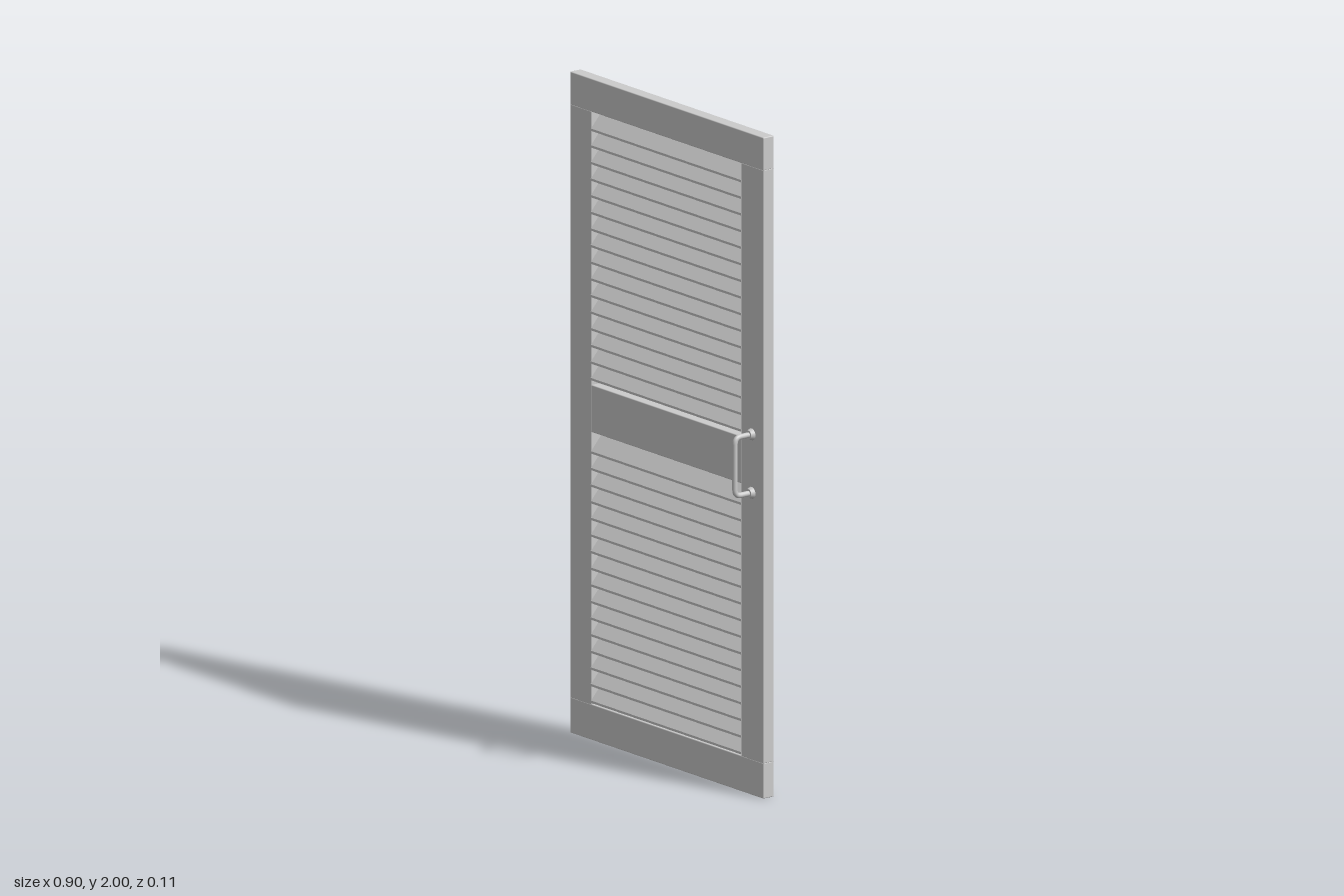
import * as THREE from 'three';
import { RoundedBoxGeometry } from 'three/addons/geometries/RoundedBoxGeometry.js';

const BACK = -0.055, FRONT = -0.015;
const MID = (BACK + FRONT) / 2, DEPTH = FRONT - BACK;

export function createModel() {
  const door = new THREE.Group();
  door.name = 'louvredDoor';
  const material = new THREE.MeshStandardMaterial({ color: 0xcccccc });

  const add = (name, geometry, parent = door) => {
    const mesh = new THREE.Mesh(geometry, material);
    mesh.name = name;
    parent.add(mesh);
    return mesh;
  };

  // Frame board between two corners, with slightly eased edges
  const board = (name, x0, x1, y0, y1, depth = DEPTH) => {
    const geometry = new RoundedBoxGeometry(x1 - x0, y1 - y0, depth, 2, 0.003);
    add(name, geometry).position.set((x0 + x1) / 2, (y0 + y1) / 2, MID);
  };
  board('topRail', -0.45, 0.45, 1.9, 2);
  board('bottomRail', -0.45, 0.45, 0, 0.108);
  board('rightStile', -0.45, -0.35, 0.106, 1.902);
  board('leftStile', 0.345, 0.45, 0.106, 1.902);
  board('middleRail', -0.352, 0.347, 0.931, 1.074);

  // Slats: high at the back, low at the front
  const PITCH = 0.0503, RISE = 0.053, T = 0.007;
  const profile = new THREE.Shape([
    new THREE.Vector2(-FRONT - 0.001, 0),
    new THREE.Vector2(-FRONT - 0.001, T),
    new THREE.Vector2(-BACK, RISE),
    new THREE.Vector2(-BACK, RISE - T),
  ]);
  const slatGeometry = new THREE.ExtrudeGeometry(profile, { depth: 0.699, bevelEnabled: false });
  slatGeometry.rotateY(Math.PI / 2); // profile x becomes -z, length becomes x
  slatGeometry.translate(-0.352, 0, 0);
  for (const [name, lowest] of [['lowerSlats', 0.112], ['upperSlats', 1.088]]) {
    const slats = new THREE.Group();
    slats.name = name;
    door.add(slats);
    for (let i = 0; i < 16; i++) add('slat', slatGeometry, slats).position.y = lowest + i * PITCH;
  }

  // Pull handle: a bent bar with rounded corners on two round mounts
  const handle = new THREE.Group();
  handle.name = 'handle';
  handle.position.x = 0.395;
  door.add(handle);
  const LOW = 0.914, HIGH = 1.091, OUT = 0.047, R = 0.02;
  const v = (y, z) => new THREE.Vector3(0, y, z);
  const path = new THREE.CurvePath();
  path.add(new THREE.LineCurve3(v(LOW, FRONT), v(LOW, OUT - R)));
  path.add(new THREE.QuadraticBezierCurve3(v(LOW, OUT - R), v(LOW, OUT), v(LOW + R, OUT)));
  path.add(new THREE.LineCurve3(v(LOW + R, OUT), v(HIGH - R, OUT)));
  path.add(new THREE.QuadraticBezierCurve3(v(HIGH - R, OUT), v(HIGH, OUT), v(HIGH, OUT - R)));
  path.add(new THREE.LineCurve3(v(HIGH, OUT - R), v(HIGH, FRONT)));
  add('handleBar', new THREE.TubeGeometry(path, 80, 0.008, 16), handle);

  const mountGeometry = new THREE.CylinderGeometry(0.013, 0.018, 0.012, 24).rotateX(Math.PI / 2);
  for (const y of [LOW, HIGH]) add('handleMount', mountGeometry, handle).position.set(0, y, FRONT + 0.006);

  return door;
}
